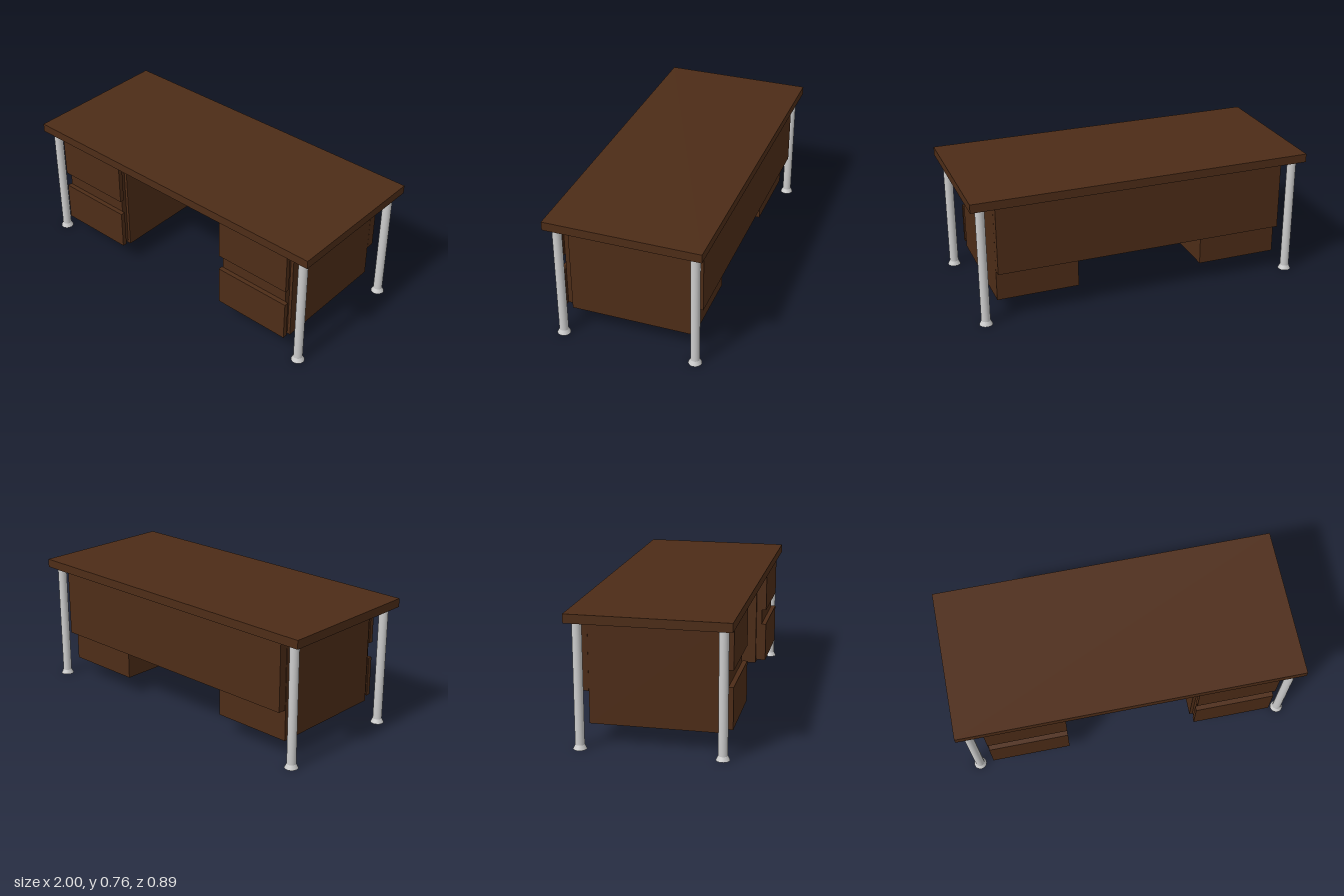
import * as THREE from 'three';

const wood = new THREE.MeshStandardMaterial({ color: 0x4d2c17 });
const metal = new THREE.MeshStandardMaterial({ color: 0xcccccc });

// Box given by its lower and upper corner
function slab(name, [x0, y0, z0], [x1, y1, z1]) {
  const geo = new THREE.BoxGeometry(x1 - x0, y1 - y0, z1 - z0);
  const mesh = new THREE.Mesh(geo, wood);
  mesh.position.set((x0 + x1) / 2, (y0 + y1) / 2, (z0 + z1) / 2);
  mesh.name = name;
  return mesh;
}

// Round post on a flared foot
function makeLeg(name, x, z) {
  const leg = new THREE.Group();
  leg.name = name;
  const post = new THREE.Mesh(new THREE.CylinderGeometry(0.026, 0.026, 0.685, 32), metal);
  post.name = 'legPost';
  post.position.y = 0.3675;
  const foot = new THREE.Mesh(new THREE.CylinderGeometry(0.026, 0.038, 0.025, 32), metal);
  foot.name = 'legFoot';
  foot.position.y = 0.0125;
  leg.add(post, foot);
  leg.position.set(x, 0, z);
  return leg;
}

// Carcass, recessed front panel and two drawer fronts
function makePedestal(name, carcass, panel, drawer) {
  const g = new THREE.Group();
  g.name = name;
  g.add(slab('cabinet', [carcass[0], 0.117, -0.355], [carcass[1], 0.709, 0.365]));
  g.add(slab('recessedPanel', [panel[0], 0.135, 0.365], [panel[1], 0.697, 0.398]));
  g.add(slab('lowerDrawer', [drawer[0], 0.135, 0.398], [drawer[1], 0.37, 0.425]));
  g.add(slab('upperDrawer', [drawer[0], 0.462, 0.398], [drawer[1], 0.697, 0.425]));
  return g;
}

export function createModel() {
  const desk = new THREE.Group();
  desk.name = 'desk';

  desk.add(slab('desktop', [-1, 0.709, -0.443], [1, 0.759, 0.443]));
  desk.add(slab('modestyPanel', [-0.858, 0.3, -0.405], [0.858, 0.709, -0.356]));

  // Both drawer stacks sit slightly towards +x on their cabinets
  desk.add(makePedestal('rightPedestal', [-0.86, -0.38], [-0.84, -0.398], [-0.847, -0.38]));
  desk.add(makePedestal('leftPedestal', [0.378, 0.858], [0.396, 0.84], [0.39, 0.858]));

  for (const [side, x] of [['Left', 0.937], ['Right', -0.937]]) {
    desk.add(makeLeg(`front${side}Leg`, x, 0.388));
    desk.add(makeLeg(`back${side}Leg`, x, -0.388));
  }
  return desk;
}
